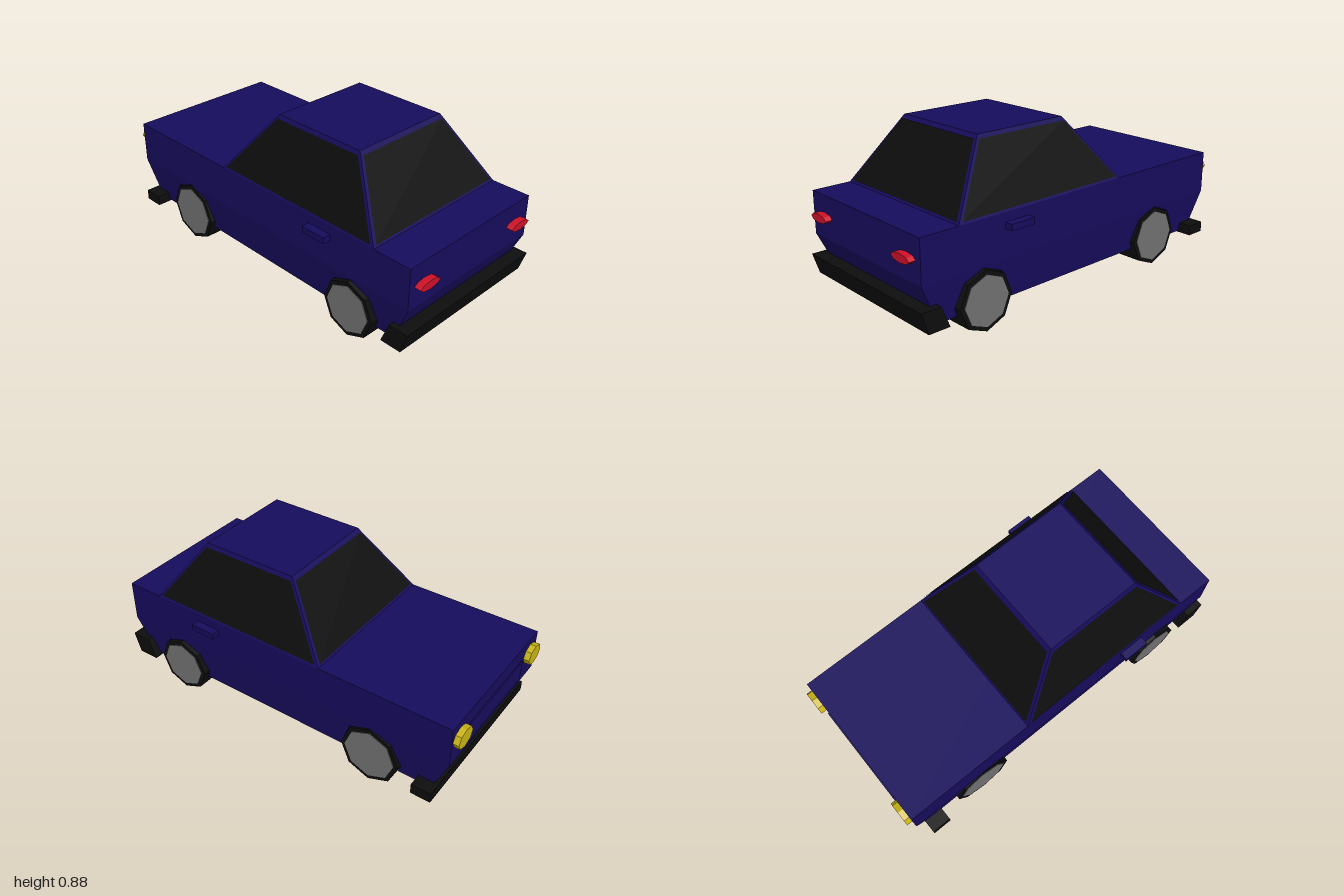
import * as THREE from 'three';

const mat = (color) => new THREE.MeshStandardMaterial({ color, flatShading: true });

export function createModel() {
  const car = new THREE.Group();
  const paint = mat(0x160c5c), black = mat(0x0d0d0d), grey = mat(0x707070);
  const red = mat(0xcc1028), yellow = mat(0xc8b414);

  const add = (name, geometry, material, x = 0, y = 0, z = 0) => {
    const mesh = new THREE.Mesh(geometry, material);
    mesh.name = name;
    mesh.position.set(x, y, z);
    car.add(mesh);
    return mesh;
  };
  const box = (name, material, x0, x1, y0, y1, z0, z1) =>
    add(name, new THREE.BoxGeometry(x1 - x0, y1 - y0, z1 - z0), material,
      (x0 + x1) / 2, (y0 + y1) / 2, (z0 + z1) / 2);
  const extrude = (points, depth) => new THREE.ExtrudeGeometry(
    new THREE.Shape(points.map(([x, y]) => new THREE.Vector2(x, y))), { depth, bevelEnabled: false });

  const wheels = [
    { name: 'front', x: -0.555, r: 0.16, hub: 0.138, z0: 0.297, z1: 0.432 },
    { name: 'rear', x: 0.625, r: 0.15, hub: 0.128, z0: 0.278, z1: 0.445 },
  ];
  const axleY = 0.165, floorY = 0.12, beltY = 0.33, inner = 0.27, half = 0.43;

  // Upper body and the lower body core between the wheel wells
  box('upperBody', paint, -0.97, 0.965, beltY, 0.55, -half, half);
  const ends = [[0.965, beltY], [-0.97, beltY], [-0.88, floorY]];
  add('lowerBody', extrude([...ends, [0.87, floorY]], 2 * inner), paint, 0, 0, -inner);

  // Lower sides with octagonal wheel arches, leaning inwards towards the floor
  const arches = wheels.flatMap(({ x, r }) => {
    const R = r + 0.004, foot = R - 0.0186;
    const arc = [4, 3, 2, 1, 0].map((i) => [
      x + R * Math.cos(i * Math.PI / 4), axleY + R * Math.sin(i * Math.PI / 4)]);
    return [[x - foot, floorY], ...arc, [x + foot, floorY]];
  });
  const sideGeo = extrude([...ends, ...arches, [0.87, floorY]], half - inner);
  const p = sideGeo.attributes.position;
  for (let i = 0; i < p.count; i++) {
    if (p.getZ(i) > 0.1) p.setZ(i, p.getZ(i) - (beltY - p.getY(i)) * 0.125);
  }
  sideGeo.computeVertexNormals();
  for (const s of [1, -1]) add('lowerSide', sideGeo, paint, 0, 0, s * inner).scale.z = s;

  // Cabin: a box whose top is drawn in
  const low = { x0: -0.26, x1: 0.76, y: 0.55, z: 0.43 };
  const top = { x0: 0, x1: 0.525, y: 0.88, z: 0.277 };
  const cabinGeo = new THREE.BoxGeometry(1, 1, 1);
  const c = cabinGeo.attributes.position;
  for (let i = 0; i < c.count; i++) {
    const k = c.getY(i) > 0 ? top : low;
    c.setXYZ(i, c.getX(i) > 0 ? k.x1 : k.x0, k.y, Math.sign(c.getZ(i)) * k.z);
  }
  cabinGeo.computeVertexNormals();
  add('cabin', cabinGeo, paint);

  // Windows: inset quads lying just outside each cabin face
  const corner = (k, right, front) => new THREE.Vector3(right ? k.x1 : k.x0, k.y, front ? k.z : -k.z);
  const glass = (name, a, b) => {
    const [bl, br, tr, tl] = [corner(low, ...a), corner(low, ...b), corner(top, ...b), corner(top, ...a)];
    const normal = br.clone().sub(bl).cross(tl.clone().sub(bl)).normalize().multiplyScalar(0.004);
    const at = (t, side) => {
      const l = bl.clone().lerp(tl, t), r = br.clone().lerp(tr, t);
      const along = r.clone().sub(l).normalize().multiplyScalar(0.015);
      return (side ? r.sub(along) : l.add(along)).add(normal);
    };
    const geo = new THREE.BufferGeometry().setFromPoints([at(0.03, 0), at(0.03, 1), at(0.94, 1), at(0.94, 0)]);
    geo.setIndex([0, 1, 2, 0, 2, 3]);
    geo.computeVertexNormals();
    add(name, geo, black);
  };
  glass('leftWindow', [0, 1], [1, 1]);
  glass('rearWindow', [1, 1], [1, 0]);
  glass('rightWindow', [1, 0], [0, 0]);
  glass('windscreen', [0, 0], [0, 1]);

  // Bumpers and nose panel
  box('frontBumper', black, -0.92, -0.815, 0.112, 0.167, -0.48, 0.48);
  add('rearBumper', extrude([[0.835, 0.113], [0.95, 0.113], [0.985, 0.222], [0.88, 0.222]], 0.9),
    black, 0, 0, -0.45);
  box('nosePanel', paint, -0.976, -0.96, 0.36, 0.47, -0.27, 0.27);

  // Wheels, door handles and lamps on both sides
  const lamp = (name, material, x, y, z, ry, rz, turn) => {
    const geo = new THREE.CylinderGeometry(1, 1, 0.05, 8, 1, false, turn);
    geo.rotateZ(Math.PI / 2).scale(1, ry, rz);
    add(name, geo, material, x, y, z);
  };
  for (const s of [1, -1]) {
    for (const w of wheels) {
      const disc = (r, depth) => new THREE.CylinderGeometry(r, r, depth, 8).rotateX(Math.PI / 2);
      add(w.name + 'Tyre', disc(w.r, w.z1 - w.z0), black, w.x, axleY, s * (w.z0 + w.z1) / 2);
      add(w.name + 'Hub', disc(w.hub, 0.02), grey, w.x, axleY, s * (w.z1 - 0.007));
    }
    add('doorHandle', new THREE.BoxGeometry(0.14, 0.032, 0.06), paint, 0.428, 0.487, s * 0.443);
    lamp('headlight', yellow, -0.975, 0.467, s * 0.356, 0.05, 0.066, 0);
    lamp('taillight', red, 0.975, 0.441, s * 0.331, 0.022, 0.066, 0);
  }
  return car;
}
